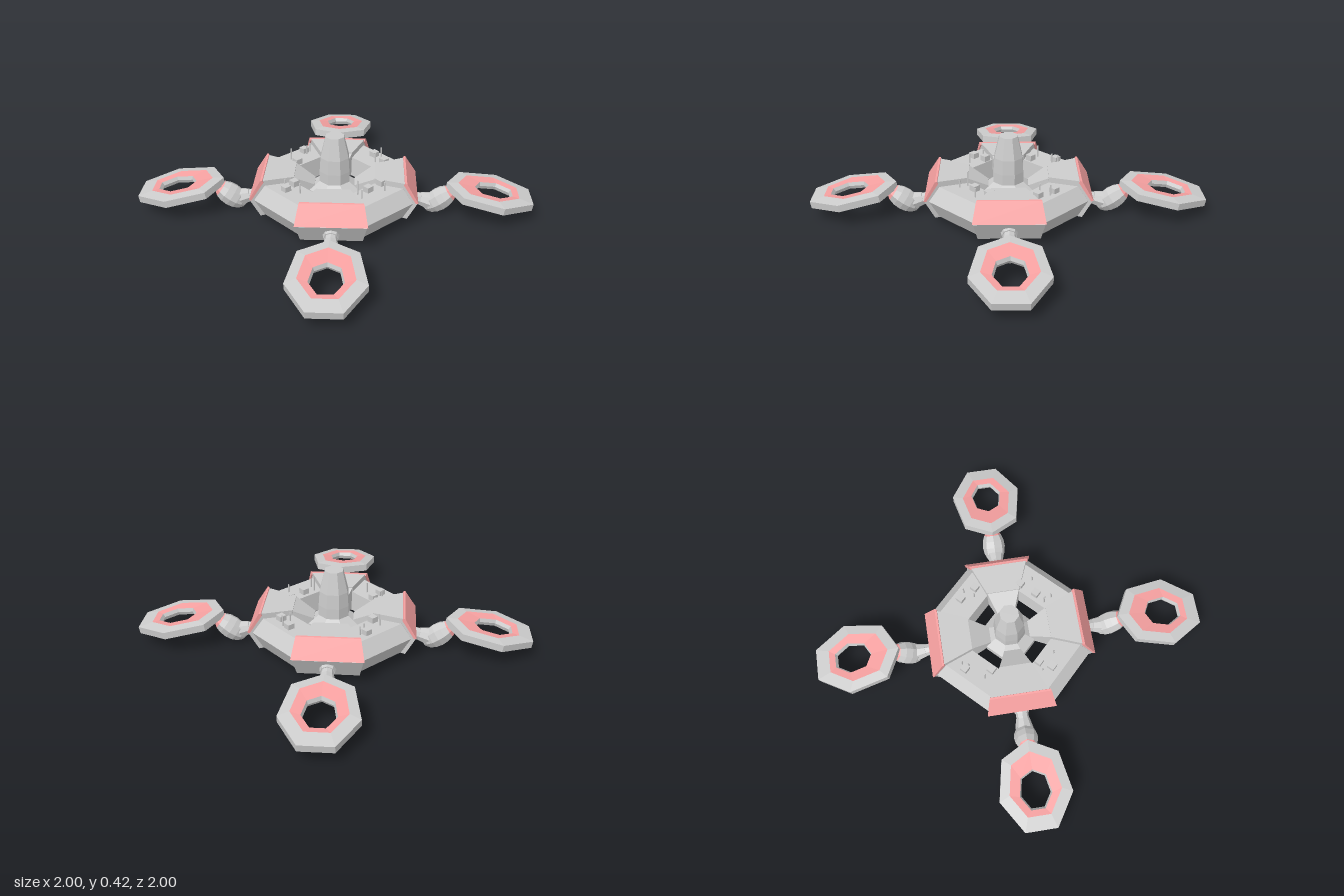
import * as THREE from 'three';

const grey = new THREE.MeshStandardMaterial({ color: 0xcccccc, flatShading: true });
const pink = new THREE.MeshStandardMaterial({ color: 0xf5a0a0, flatShading: true });
const APOTHEM = 1 / Math.cos(Math.PI / 8);

function add(parent, name, geometry, material = grey) {
  const mesh = new THREE.Mesh(geometry, material);
  mesh.name = name;
  parent.add(mesh);
  return mesh;
}

function fromTriangles(points) {
  const g = new THREE.BufferGeometry().setFromPoints(points);
  g.computeVertexNormals();
  return g;
}

// Eight-sided turned solid with flats facing the axes; profile is [apothem, y]
function octagon(profile) {
  const pts = profile.map(([r, y]) => new THREE.Vector2(r * APOTHEM, y));
  return new THREE.LatheGeometry(pts, 8, Math.PI / 8);
}

// Solid pointing along +z from a closed profile of [z, y, halfWidth]
function wedge(profile) {
  const n = profile.length, out = [];
  const p = (i, s) => new THREE.Vector3(s * profile[i % n][2], profile[i % n][1], profile[i % n][0]);
  for (let i = 0; i < n; i++) {
    out.push(p(i, -1), p(i, 1), p(i + 1, 1), p(i, -1), p(i + 1, 1), p(i + 1, -1));
  }
  const flat = profile.map(([z, y]) => new THREE.Vector2(z, y));
  for (const [a, b, c] of THREE.ShapeUtils.triangulateShape(flat, [])) {
    out.push(p(a, -1), p(b, -1), p(c, -1), p(c, 1), p(b, 1), p(a, 1));
  }
  return fromTriangles(out);
}

// Seven-sided pod outline, scaled and shifted along z
const outline = [[0, -.22], [.14, -.145], [.18, .055], [.08, .215], [-.08, .215], [-.18, .055], [-.14, -.145]];
const loop = (s, y, shift = 0) => outline.map(([x, z]) => new THREE.Vector3(x * s, y, z * s + shift));

function skin(loops) {
  const out = [];
  for (let k = 0; k + 1 < loops.length; k++) {
    const a = loops[k], b = loops[k + 1];
    a.forEach((_, i) => {
      const j = (i + 1) % a.length;
      out.push(a[j], a[i], b[i], a[j], b[i], b[j]);
    });
  }
  return fromTriangles(out);
}

// Straight faceted rod between two [y, z] points
function rod(parent, name, a, b, r0, r1, sides = 8) {
  const dir = new THREE.Vector3(0, b[0] - a[0], b[1] - a[1]);
  const mesh = add(parent, name, new THREE.CylinderGeometry(r1, r0, dir.length(), sides));
  mesh.position.set(0, (a[0] + b[0]) / 2, (a[1] + b[1]) / 2);
  mesh.quaternion.setFromUnitVectors(new THREE.Vector3(0, 1, 0), dir.normalize());
}

function createPod() {
  const pod = new THREE.Group();
  pod.name = 'pod';
  const outer = y => loop(1, y), band = y => loop(.71, y, -.008), hole = y => loop(.44, y, .02);
  add(pod, 'podRim', skin([band(-.025), outer(-.02), outer(.016), band(.024)]));
  add(pod, 'podTopBand', skin([band(.024), hole(.018)]), pink);
  add(pod, 'podHoleWall', skin([hole(.018), loop(.4, 0, .02), hole(-.018)]));
  add(pod, 'podBottomBand', skin([hole(-.018), band(-.025)]), pink);
  pod.position.set(0, .118, .783);
  pod.rotation.x = .17;
  return pod;
}

// One quarter of the craft: armour, spoke, arm, joint and pod along +z
function createQuarter() {
  const q = new THREE.Group();
  q.name = 'quarter';
  add(q, 'armourPanel', wedge([
    [.365, .04, .15], [.415, .14, .168], [.358, .234, .147],
    [.2, .228, .083], [.2, .185, .083], [.3, .04, .12]]));
  add(q, 'armourTrim', wedge([
    [.405, .137, .17], [.417, .142, .174], [.36, .237, .154], [.35, .238, .15], [.345, .225, .148]]), pink);
  add(q, 'spoke', wedge([
    [.1, .12, .042], [.2, .1, .083], [.205, .225, .083], [.1, .165, .042]]));

  // Arm with its collars
  rod(q, 'arm', [.1, .31], [.06, .5], .032, .032);
  rod(q, 'armRoot', [.095, .34], [.08, .41], .05, .036);
  rod(q, 'armCollar', [.075, .435], [.062, .485], .034, .046);

  // Elongated joint with a coloured tip under the pod
  const joint = new THREE.Group();
  joint.name = 'joint';
  add(joint, 'jointShell', new THREE.SphereGeometry(.06, 8, 6, 0, Math.PI * 2, Math.PI * .27, Math.PI * .73));
  add(joint, 'jointTip', new THREE.SphereGeometry(.06, 8, 2, 0, Math.PI * 2, 0, Math.PI * .27), pink);
  joint.scale.y = 1.55;
  joint.position.set(0, .075, .535);
  joint.rotation.x = Math.atan2(.82, .57);
  q.add(joint);

  q.add(createPod());
  return q;
}

export function createModel() {
  const model = new THREE.Group();
  model.name = 'droneStation';

  // Ring-shaped hull
  add(model, 'hull', octagon([
    [.29, .045], [.345, .045], [.392, .135], [.34, .205], [.2, .2], [.19, .1], [.29, .045]]));

  // Central hub, its lower cone and the tower
  add(model, 'hub', octagon([
    [0, 0], [.025, 0], [.04, .02], [.08, .05], [.125, .1], [.125, .14], [.075, .18], [0, .18]]));
  add(model, 'tower', octagon([[.075, .17], [.075, .235], [.07, .31], [.045, .42], [0, .42]]));

  for (let i = 0; i < 4; i++) {
    const quarter = createQuarter();
    quarter.rotation.y = i * Math.PI / 2;
    model.add(quarter);
  }

  // Deck equipment: boxes at [x, z]
  const boxes = [[.2, -.22], [.25, -.14], [.235, .095], [.17, .165],
    [-.23, .18], [-.195, .12], [-.175, -.25], [-.2, -.12]];
  for (const [x, z] of boxes) {
    const box = add(model, 'deckBox', new THREE.BoxGeometry(.036, .03, .036));
    box.position.set(x, .215, z);
    box.rotation.y = Math.PI / 4;
  }

  // Thin masts at [x, z, top]
  const masts = [[.12, .2, .278], [.14, .24, .25], [.25, .16, .25], [.205, -.15, .25], [.235, -.2, .26],
    [-.235, -.16, .265], [-.16, -.23, .25], [-.145, -.26, .25], [-.16, .2, .255], [-.24, .13, .24]];
  for (const [x, z, top] of masts) {
    const mast = add(model, 'mast', new THREE.CylinderGeometry(.004, .004, top - .19, 5));
    mast.position.set(x, (top + .19) / 2, z);
  }
  return model;
}
